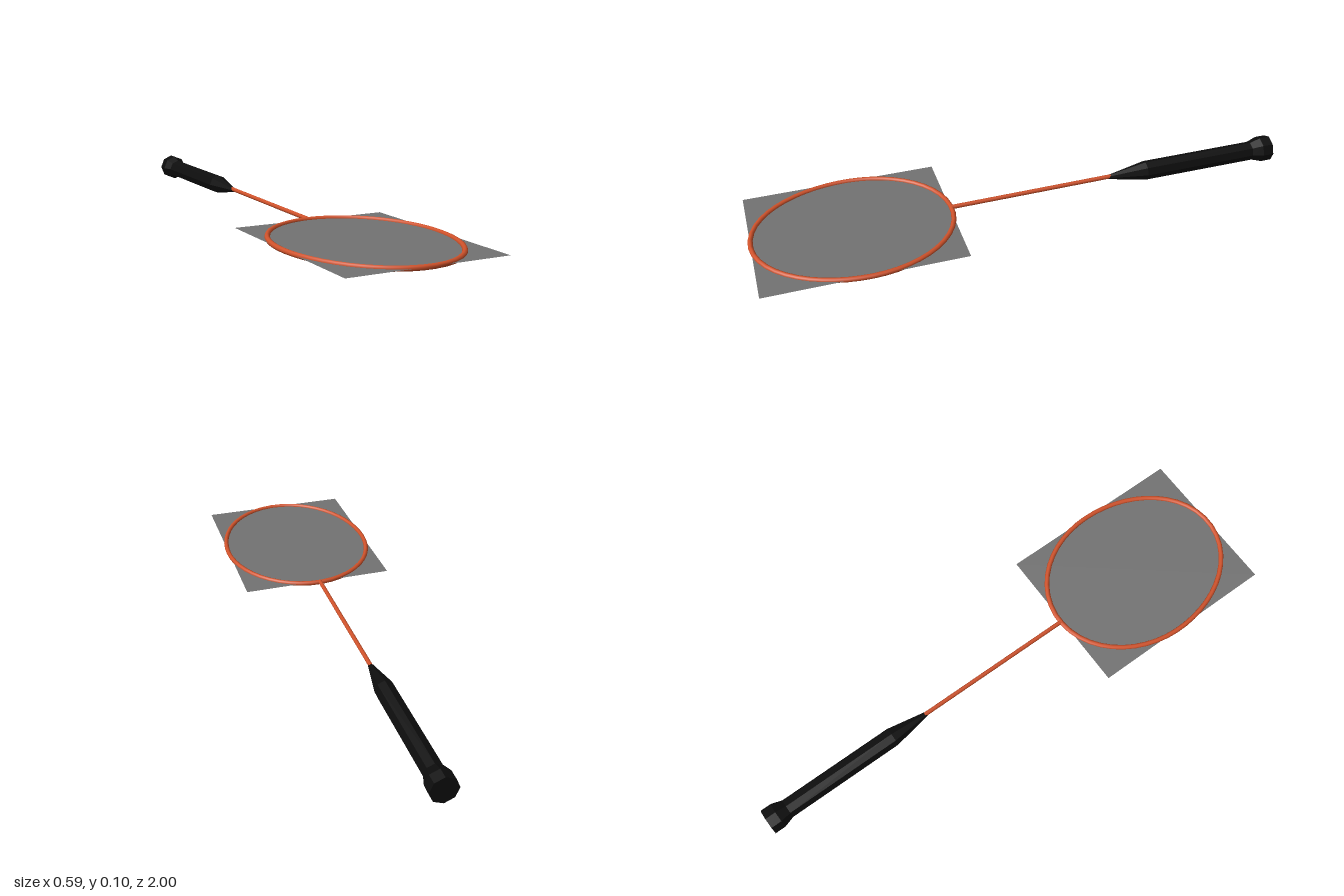
import * as THREE from 'three';

export function createModel() {
  const model = new THREE.Group();
  const material = (name, color, extra = {}) => {
    const m = new THREE.MeshStandardMaterial({ color, ...extra });
    m.name = name;
    return m;
  };
  const orange = material('orange frame', 0xd2532b);
  const black = material('black grip', 0x0d0d0d, { flatShading: true });
  const grey = material('grey strings', 0x737373, { side: THREE.DoubleSide });

  const add = (name, geometry, mat) => {
    const mesh = new THREE.Mesh(geometry, mat);
    mesh.name = name;
    model.add(mesh);
    return mesh;
  };

  const axisX = -0.007;
  const headY = 0.045;

  // Eight-sided grip with a flared butt and a cone towards the shaft
  const profile = [
    [0, -1], [0.049, -1], [0.049, -0.96], [0.036, -0.92],
    [0.036, -0.48], [0.008, -0.33], [0, -0.33],
  ].map(([r, z]) => new THREE.Vector2(r, z));
  const grip = add('grip', new THREE.LatheGeometry(profile, 8).rotateX(Math.PI / 2), black);
  grip.position.set(axisX, 0.049, 0);

  // Thin shaft from the grip to the hoop, sloping very slightly
  const shaftPath = new THREE.LineCurve3(
    new THREE.Vector3(axisX, 0.051, -0.34), new THREE.Vector3(axisX, 0.047, 0.28));
  add('shaft', new THREE.TubeGeometry(shaftPath, 1, 0.008, 8), orange);

  // Oval hoop, a little wider towards the shaft
  const points = [];
  for (let i = 0; i < 32; i++) {
    const a = (i / 32) * Math.PI * 2;
    const s = Math.sin(a);
    points.push(new THREE.Vector3(
      -0.002 + 0.285 * Math.cos(a), headY, 0.618 + s * (s > 0 ? 0.373 : 0.341)));
  }
  const hoopPath = new THREE.CatmullRomCurve3(points, true);
  add('hoop', new THREE.TubeGeometry(hoopPath, 48, 0.009, 8, true), orange);

  // Flat rectangular string sheet
  const strings = add('stringSheet', new THREE.PlaneGeometry(0.568, 0.707).rotateX(-Math.PI / 2), grey);
  strings.position.set(-0.002, headY, 0.637);

  return model;
}
